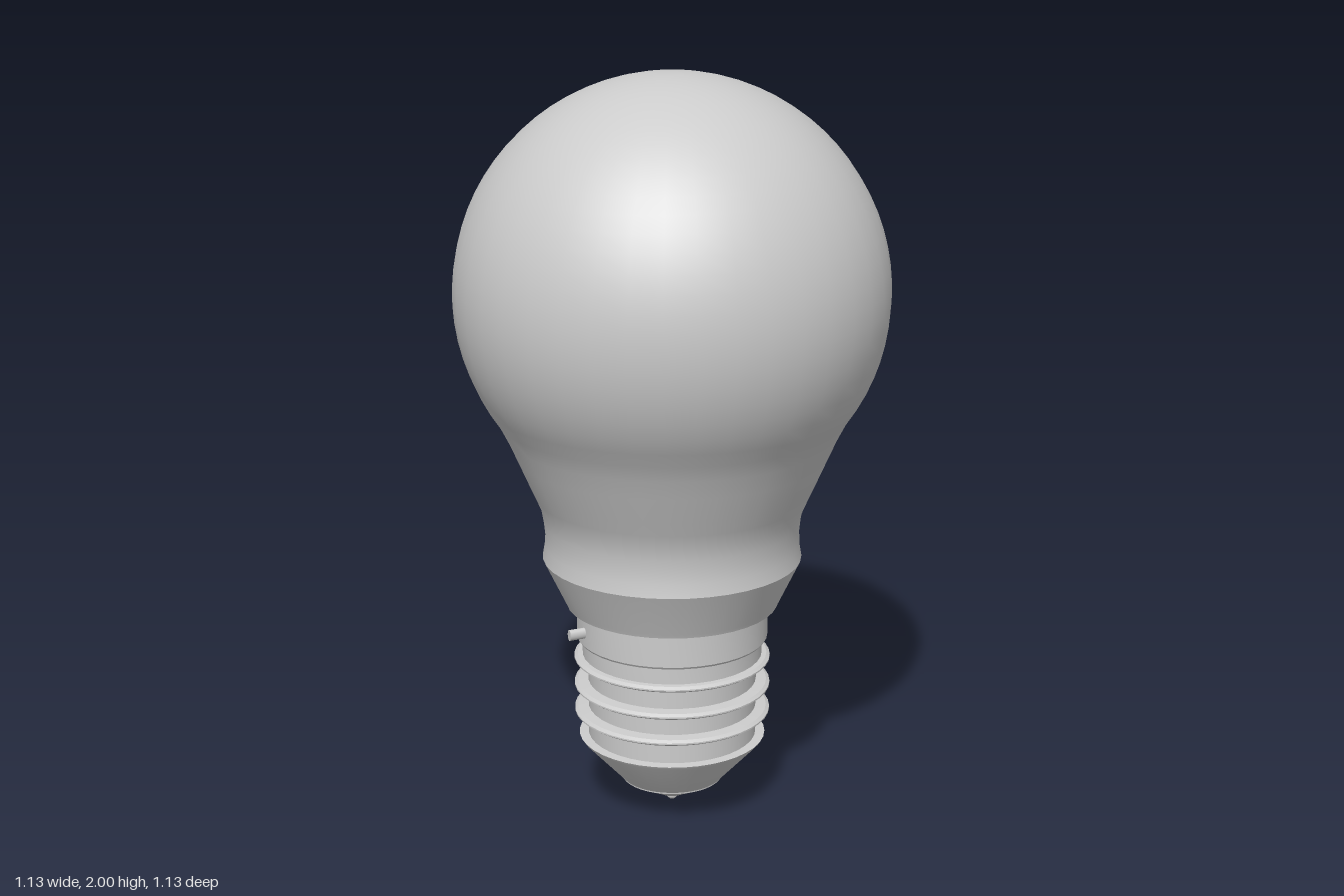
import * as THREE from 'three';
import { toCreasedNormals } from 'three/addons/utils/BufferGeometryUtils.js';

const SIDES = 40;
const material = new THREE.MeshStandardMaterial({ color: 0xcccccc, side: THREE.DoubleSide });

// Revolve [radius, height] points, keeping edges sharper than the crease angle
function turned(name, points, crease = 0.45) {
  const profile = points.map(([r, y]) => new THREE.Vector2(r, y));
  const geometry = toCreasedNormals(new THREE.LatheGeometry(profile, SIDES), crease);
  const mesh = new THREE.Mesh(geometry, material);
  mesh.name = name;
  return mesh;
}

export function createModel() {
  const model = new THREE.Group();
  model.name = 'lightBulb';

  // Glass: tapering neck that runs into a round globe
  const radius = 0.567, centre = 1.433, start = -0.628, steps = 26;
  const glass = [[0.345, 0.715], [0.339, 0.75], [0.338, 0.785], [0.341, 0.815], [0.347, 0.85],
    [0.363, 0.888], [0.38, 0.926], [0.412, 1.0], [0.436, 1.055]];
  for (let i = 0; i <= steps; i++) {
    const a = start + (Math.PI / 2 - start) * i / steps;
    glass.push([i === steps ? 0 : radius * Math.cos(a), centre + radius * Math.sin(a)]);
  }
  model.add(turned('glassBulb', glass));

  // Sloped shoulder under the glass, closed below by a thin lip
  model.add(turned('shoulder', [[0.25, 0.583], [0.283, 0.583], [0.287, 0.593], [0.345, 0.715]]));

  // Smooth collar above the thread
  model.add(turned('collar', [[0.235, 0.485], [0.253, 0.485], [0.257, 0.491], [0.257, 0.585]]));

  // Screw cap core, stepped out slightly at its top
  model.add(turned('capCore', [[0.227, 0.2], [0.227, 0.43], [0.242, 0.436], [0.242, 0.487]]));

  // Thread ridges
  for (const y of [0.278, 0.352, 0.429]) {
    model.add(turned('threadRidge', [[0.225, y - 0.011], [0.255, y - 0.008], [0.264, y - 0.002],
      [0.264, y + 0.002], [0.255, y + 0.008], [0.225, y + 0.011]]));
  }

  // Insulating cone with a rim at its top
  model.add(turned('insulatorCone', [[0.138, 0.08], [0.247, 0.198], [0.252, 0.206], [0.225, 0.208]]));

  // Shallow contact plate and solder tip
  model.add(turned('contactPlate', [[0.018, 0.018], [0.035, 0.022], [0.06, 0.036], [0.137, 0.076], [0.138, 0.085]]));
  model.add(turned('contactTip', [[0, 0], [0.008, 0.002], [0.014, 0.008], [0.016, 0.024]]));

  // Side pins
  for (const side of [-1, 1]) {
    const pin = new THREE.Mesh(new THREE.CylinderGeometry(0.015, 0.015, 0.06, 16), material);
    pin.name = side > 0 ? 'leftPin' : 'rightPin';
    pin.rotation.z = Math.PI / 2;
    pin.scale.z = 0.7;
    pin.position.set(side * 0.27, 0.53, 0);
    model.add(pin);
  }

  return model;
}
